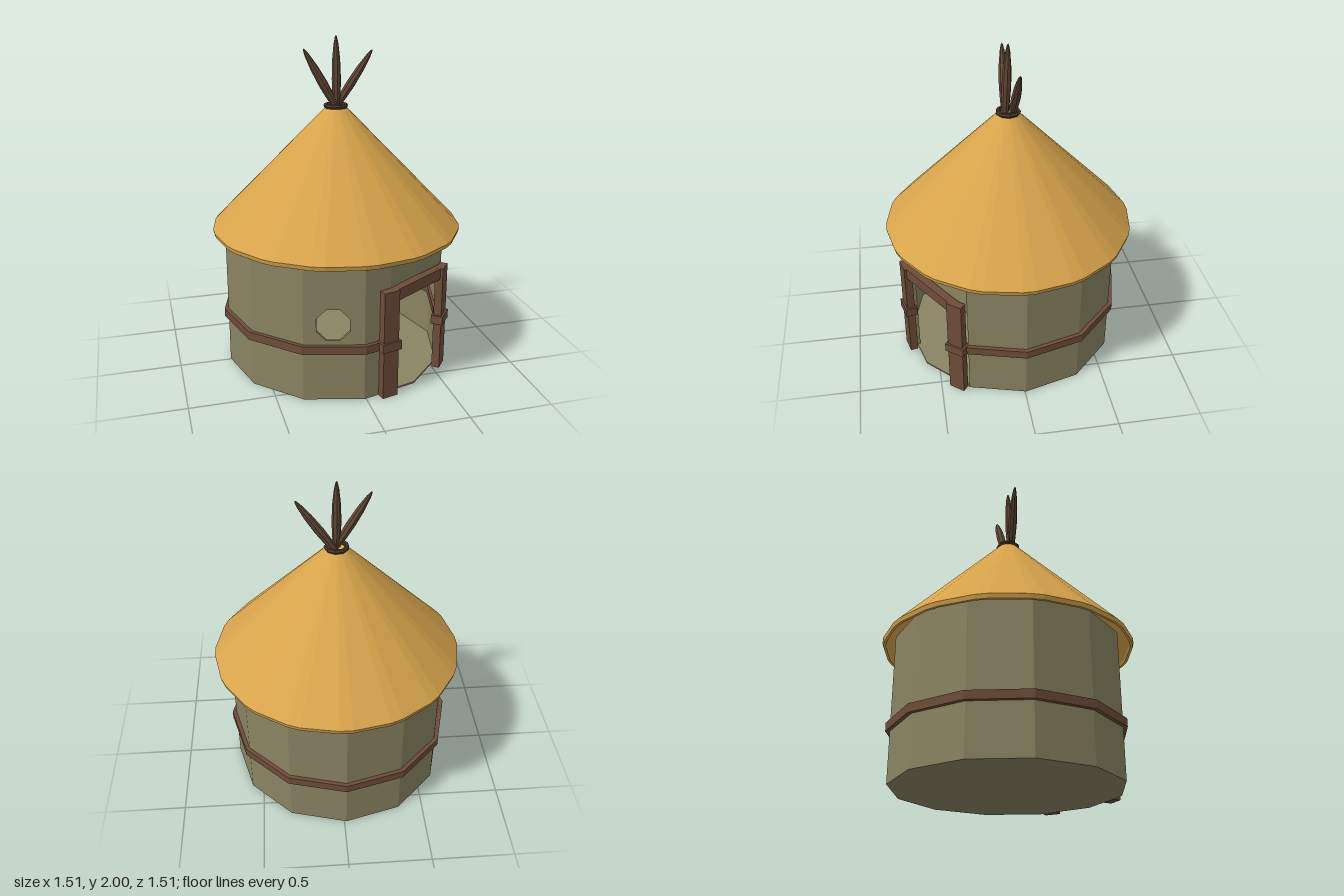
import * as THREE from 'three';

const CX = -0.012, CZ = -0.006, R = 0.675; // wall centre and radius

function makeMaterial(name, color, side = THREE.FrontSide) {
  const m = new THREE.MeshStandardMaterial({ color, flatShading: true, side });
  m.name = name;
  return m;
}

// Point on the wall circle; angle in degrees from +z towards +x
function ringPoint(deg, r) {
  const a = THREE.MathUtils.degToRad(deg);
  return new THREE.Vector2(CX + r * Math.sin(a), CZ + r * Math.cos(a));
}

function flat(geometry) {
  const g = geometry.index ? geometry.toNonIndexed() : geometry;
  g.computeVertexNormals();
  return g;
}

export function createModel() {
  const model = new THREE.Group();
  model.name = 'roundHut';
  const clay = makeMaterial('clay', 0x8a8462);
  const thatch = makeMaterial('thatch', 0xd8a44c, THREE.DoubleSide);
  const timber = makeMaterial('timber', 0x6e4d39);
  const pole = makeMaterial('pole', 0x614734);
  const binding = makeMaterial('binding', 0x4a382a);

  function add(parent, name, geometry, material) {
    const mesh = new THREE.Mesh(flat(geometry), material);
    mesh.name = name;
    parent.add(mesh);
    return mesh;
  }

  function group(name) {
    const g = new THREE.Group();
    g.name = name;
    model.add(g);
    return g;
  }

  // Upright slab whose outer face runs from a to b, with an optional hole
  function panel(parent, name, material, a, b, y0, y1, depth, hole) {
    const w = a.distanceTo(b) / 2;
    const shape = new THREE.Shape([[-w, y0], [w, y0], [w, y1], [-w, y1]].map(p => new THREE.Vector2(...p)));
    if (hole) {
      const pts = [];
      for (let i = 0; i < 8; i++) {
        const t = (i + 0.5) * Math.PI / 4;
        pts.push(new THREE.Vector2(hole.x + hole.r * Math.cos(t), hole.y - hole.r * Math.sin(t)));
      }
      shape.holes.push(new THREE.Path(pts));
    }
    const g = new THREE.ExtrudeGeometry(shape, { depth, bevelEnabled: false });
    g.translate(0, 0, -depth);
    const mesh = add(parent, name, g, material);
    mesh.position.set((a.x + b.x) / 2, 0, (a.y + b.y) / 2);
    mesh.rotation.y = Math.atan2(a.y - b.y, b.x - a.x);
  }

  // Twelve-sided wall, with the front corner cut straight for the doorway
  const walls = group('walls');
  const doorEdge = new THREE.Vector2(0.15, 0.626);
  for (let d = 60; d < 360; d += 30) {
    const window = d === 330 ? { x: -0.005, y: 0.47, r: 0.102 } : null;
    panel(walls, window ? 'windowWall' : 'wallPanel', clay, ringPoint(d, R), ringPoint(d + 30, R), 0, 0.88, 0.02, window);
  }
  panel(walls, 'doorSideWall', clay, ringPoint(0, R), doorEdge, 0, 0.88, 0.02);
  panel(walls, 'wallAboveDoor', clay, doorEdge, ringPoint(60, R), 0.6, 0.88, 0.02);
  const floor = add(walls, 'floor', new THREE.CylinderGeometry(R - 0.001, R - 0.001, 0.01, 12), clay);
  floor.position.set(CX, 0.005, CZ);

  // Timber band round the wall, stopping at the door posts
  const band = group('band');
  for (let d = 60; d < 360; d += 30) {
    panel(band, 'bandSegment', timber, ringPoint(d, 0.7), ringPoint(d + 30, 0.7), 0.3, 0.35, 0.06);
  }
  panel(band, 'bandEnd', timber, ringPoint(0, 0.7), new THREE.Vector2(0.12, 0.66), 0.3, 0.35, 0.05);

  // Door frame: two posts turned with the wall, clasps and a straight lintel
  const frame = group('doorFrame');
  const posts = [[0.135, 0.66, 14], [0.55, 0.395, 52]];
  for (const [x, z, deg] of posts) {
    const post = add(frame, 'doorPost', new THREE.BoxGeometry(0.1, 0.66, 0.048), timber);
    post.position.set(x, 0.33, z);
    const clasp = add(frame, 'bandClasp', new THREE.BoxGeometry(0.125, 0.055, 0.072), timber);
    clasp.position.set(x, 0.325, z);
    post.rotation.y = clasp.rotation.y = THREE.MathUtils.degToRad(deg);
  }
  const lintel = add(frame, 'lintel', new THREE.BoxGeometry(0.48, 0.069, 0.05), timber);
  lintel.position.set(0.343, 0.625, 0.527);
  lintel.rotation.y = Math.atan2(0.265, 0.415);

  // Hollow thatched cone: sixteen sides with narrow bevelled corners
  const profile = [[0.04, 1.56], [0.728, 0.85], [0.735, 0.836], [0.75, 0.836], [0.756, 0.862], [0.066, 1.575], [0, 1.575]]
    .map(p => new THREE.Vector2(...p));
  const roof = new THREE.LatheGeometry(profile, 32);
  const pos = roof.attributes.position;
  for (let k = 0; k < pos.count; k++) {
    const i = Math.floor(k / profile.length), p = profile[k % profile.length];
    const a = THREE.MathUtils.degToRad(Math.floor(i / 2) * 22.5 + (i % 2 ? 3 : -3));
    pos.setXYZ(k, p.x * Math.sin(a), p.y, p.x * Math.cos(a));
  }
  add(model, 'thatchedRoof', roof, thatch);

  // Binding ring and crossed poles at the peak
  const peak = group('peak');
  const ring = add(peak, 'bindingRing', new THREE.TorusGeometry(0.061, 0.014, 6, 9), binding);
  ring.rotation.x = Math.PI / 2;
  ring.position.y = 1.587;

  const spindle = [[0, 0], [0.017, 0.02], [0.025, 0.25], [0.028, 0.45], [0.024, 0.7], [0.014, 0.9], [0.006, 0.98], [0, 1]];
  const poles = [
    [[0, 1.54, 0.018], [0, 2, 0]],
    [[0.015, 1.55, 0.02], [-0.197, 1.928, 0.005]],
    [[-0.01, 1.55, -0.025], [0.232, 1.905, -0.03]],
  ];
  for (const [from, to] of poles) {
    const a = new THREE.Vector3(...from), dir = new THREE.Vector3(...to).sub(a);
    const len = dir.length();
    const g = new THREE.LatheGeometry(spindle.map(([r, t]) => new THREE.Vector2(r, t * len)), 8);
    const mesh = add(peak, 'peakPole', g, pole);
    mesh.position.copy(a);
    mesh.quaternion.setFromUnitVectors(new THREE.Vector3(0, 1, 0), dir.normalize());
  }
  return model;
}
